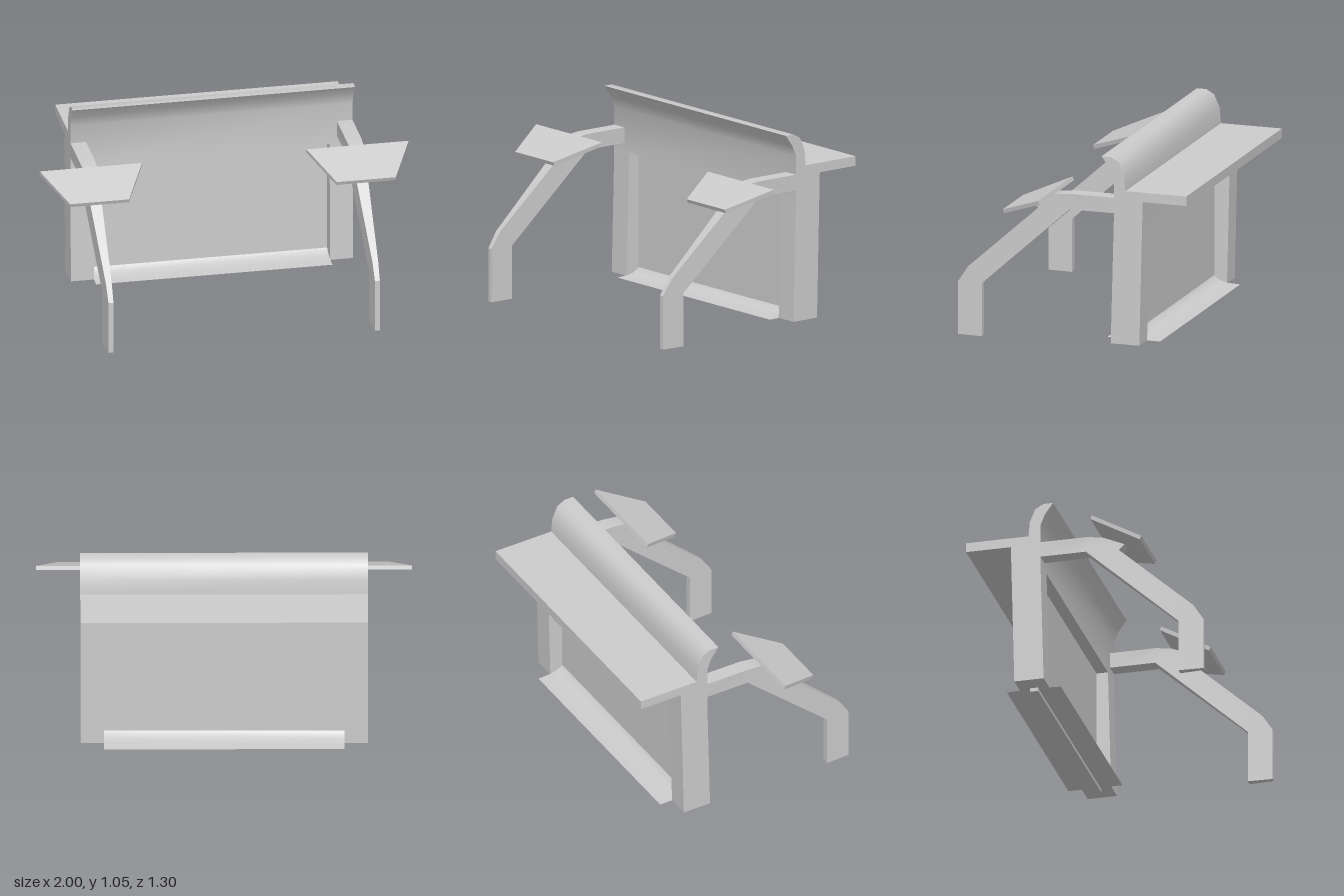
import * as THREE from 'three';
import { toCreasedNormals } from 'three/addons/utils/BufferGeometryUtils.js';

const material = new THREE.MeshStandardMaterial({ color: 0xcccccc });
const sheetMaterial = new THREE.MeshStandardMaterial({ color: 0xcccccc, side: THREE.DoubleSide });

// Side profile of [z, y] points, extruded along x and centred on x = 0
function extrudeProfile(points, width) {
  const shape = new THREE.Shape(points.map(([z, y]) => new THREE.Vector2(z, y)));
  const geometry = new THREE.ExtrudeGeometry(shape, { depth: width, bevelEnabled: false });
  return geometry.translate(0, 0, -width / 2).rotateY(-Math.PI / 2);
}

function addMesh(parent, name, geometry, mat = material) {
  const mesh = new THREE.Mesh(geometry, mat);
  mesh.name = name;
  parent.add(mesh);
  return mesh;
}

// Arm and leg in one bent bar that narrows towards the front
function legGeometry() {
  const geometry = extrudeProfile([
    [-0.26, 0.745], [0.01, 0.745], [0.513, 0.29], [0.513, 0], [0.648, 0], [0.648, 0.29],
    [0.593, 0.375], [0.19, 0.737], [0.22, 0.768], [0.1, 0.82], [0.01, 0.83], [-0.26, 0.83],
  ], 2);
  const p = geometry.attributes.position;
  for (let i = 0; i < p.count; i++) {
    const t = THREE.MathUtils.clamp((p.getZ(i) - 0.01) / 0.63, 0, 1);
    p.setX(i, p.getX(i) * THREE.MathUtils.lerp(0.042, 0.0135, t));
  }
  return toCreasedNormals(geometry, 0.3);
}

// Tilted trapezoid tray, wide edge at the back
function trayGeometry() {
  const shape = new THREE.Shape([
    new THREE.Vector2(-0.16, -0.258), new THREE.Vector2(0.16, -0.258),
    new THREE.Vector2(0.2775, 0), new THREE.Vector2(-0.2775, 0),
  ]);
  const geometry = new THREE.ExtrudeGeometry(shape, { depth: 0.022, bevelEnabled: false });
  return geometry.rotateX(-Math.PI / 2 + 0.377);
}

// Thin curved sheet swept along x from a [z, y] line
function sheetGeometry(points, width) {
  const geometry = new THREE.PlaneGeometry(width, 1, 1, points.length - 1);
  const p = geometry.attributes.position;
  for (let i = 0; i < p.count; i++) {
    const [z, y] = points[Math.floor(i / 2)];
    p.setXYZ(i, p.getX(i), y, z);
  }
  geometry.computeVertexNormals();
  return geometry;
}

export function createModel() {
  const model = new THREE.Group();
  model.name = 'counter';

  // Top beam with curled lip and rear shelf
  const beam = extrudeProfile([
    [-0.239, 0.7], [-0.399, 0.7], [-0.402, 0.82], [-0.648, 0.82], [-0.648, 0.872],
    [-0.305, 0.872], [-0.298, 0.955], [-0.267, 1.027], [-0.222, 1.052], [-0.17, 1.052],
    [-0.215, 0.99], [-0.239, 0.93],
  ].reverse(), 1.53);
  addMesh(model, 'beamWithLipAndShelf', toCreasedNormals(beam, 0.7));

  // Thin recessed panel between the posts
  addMesh(model, 'panel', new THREE.BoxGeometry(1.3, 0.66, 0.01)).position.set(0, 0.38, -0.307);

  // Flared skirt at the foot of the panel, front and back, with its flat underside
  const flare = [[0, 0.075], [0.012, 0.058], [0.04, 0.042], [0.08, 0.033], [0.148, 0.03]];
  for (const side of [1, -1]) {
    const line = flare.map(([d, y]) => [-0.308 + side * d, y]);
    addMesh(model, side > 0 ? 'frontSkirt' : 'backSkirt', sheetGeometry(line, 1.28), sheetMaterial);
  }
  addMesh(model, 'skirtBase', sheetGeometry([[-0.456, 0.029], [-0.16, 0.029]], 1.28), sheetMaterial);

  // Foot rail under the panel
  addMesh(model, 'footRail', new THREE.BoxGeometry(1.32, 0.02, 0.045)).position.set(0, 0.02, -0.303);

  for (const side of [1, -1]) {
    const label = side > 0 ? 'left' : 'right';

    const post = extrudeProfile([[-0.222, 0.03], [-0.239, 0.7], [-0.399, 0.7], [-0.383, 0.03]], 0.125);
    addMesh(model, label + 'Post', post).position.x = side * 0.7025;

    addMesh(model, label + 'Leg', legGeometry()).position.x = side * 0.722;

    addMesh(model, label + 'Tray', trayGeometry()).position.set(side * 0.7225, 0.82, 0.097);
  }
  return model;
}
